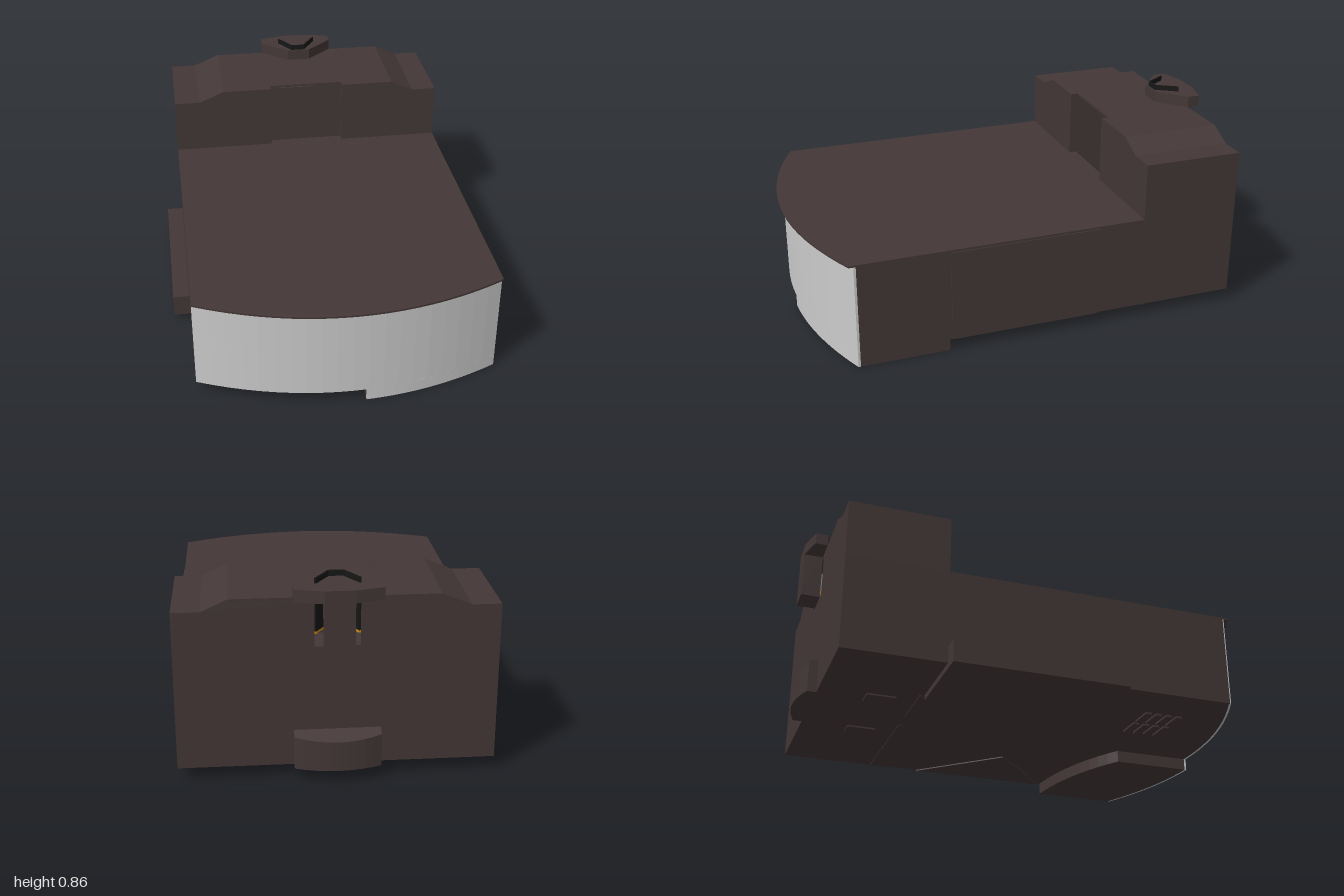
import * as THREE from 'three';

const mat = (color) => new THREE.MeshStandardMaterial({ color, side: THREE.DoubleSide, flatShading: true });
const brown = mat(0x443737), black = mat(0x161616), orange = mat(0xc98512), grey = mat(0xcccccc);

const L = -0.62, R = 0.685, MID = (L + R) / 2, HALF = (R - L) / 2;
const BACK = -0.915, STEP = -0.47, RECESS = -0.505, FLOOR = 0.055, DECK = 0.475;

// Bowed front edge from x0 to x1, peaking at the given z
function arc(x0, x1, peak, sag = 0.15, n = 20) {
  return Array.from({ length: n + 1 }, (_, i) => {
    const x = x0 + (x1 - x0) * i / n;
    return [x, peak - sag * ((x - MID) / HALF) ** 2];
  });
}

export function createModel() {
  const group = new THREE.Group();

  const add = (name, geo, material = brown) => {
    const mesh = new THREE.Mesh(geo, material);
    mesh.name = name;
    group.add(mesh);
    return mesh;
  };
  // Box given by its limits on each axis
  const box = (name, x0, x1, y0, y1, z0, z1, material) => add(name,
    new THREE.BoxGeometry(x1 - x0, y1 - y0, z1 - z0)
      .translate((x0 + x1) / 2, (y0 + y1) / 2, (z0 + z1) / 2), material);
  const shapeOf = (pts) => new THREE.Shape(pts.map(([x, y]) => new THREE.Vector2(x, y)));
  // Floor plan of [x, z] points raised from y0 to y1
  const plan = (name, pts, y0, y1, material) => add(name,
    new THREE.ExtrudeGeometry(shapeOf(pts.map(([x, z]) => [x, -z])), { depth: y1 - y0, bevelEnabled: false })
      .rotateX(-Math.PI / 2).translate(0, y0, 0), material);
  // Elevation of [x, y] points running from z0 to z1
  const elevation = (name, shape, z0, z1, material) => add(name,
    new THREE.ExtrudeGeometry(shape, { depth: z1 - z0, bevelEnabled: false }).translate(0, 0, z0), material);

  // Hollow main body: floor, side walls and overhanging deck
  plan('bodyFloor', [[L, BACK], ...arc(L, R, 0.96), [R, BACK]], FLOOR, FLOOR + 0.01);
  plan('deck', [[L, RECESS], ...arc(L, R, 1, 0.16), [R, RECESS]], DECK - 0.008, DECK);
  for (const [x0, x1] of [[L, L + 0.01], [R - 0.01, R]]) {
    box('sideWall', x0, x1, FLOOR, DECK, BACK, 0.815);
    box('rearSideWall', x0, x1, DECK, 0.73, BACK, STEP);
  }
  box('sidePanel', R, R + 0.005, FLOOR, DECK - 0.01, -0.27, 0.41);

  // Light bowed front, deeper above the foot
  const frontBand = (x0, x1, y0, y1) => plan('frontPanel',
    [...arc(x0, x1, 0.97), ...arc(x0, x1, 0.96).reverse()], y0, y1, grey);
  frontBand(L, R, FLOOR, DECK - 0.008);
  frontBand(0.09, R, 0, FLOOR);

  // Foot under the left front corner, with a curved rear edge
  const footRear = new THREE.QuadraticBezierCurve(
    new THREE.Vector2(R, 0.42), new THREE.Vector2(0.34, 0.44), new THREE.Vector2(0.09, 0.6));
  plan('frontFoot', [...arc(0.09, R, 0.96), ...footRear.getPoints(10).map((p) => [p.x, p.y])], 0, FLOOR);

  // Raised rear housing: roof, rear wall with opening, front faces beside the recess
  const roof = [[L, 0.73], [-0.5, 0.73], [-0.38, 0.78], [0.46, 0.78], [0.57, 0.73], [R, 0.73]];
  elevation('rearRoof', shapeOf([...roof, ...roof.map(([x, y]) => [x, y - 0.01]).reverse()]), BACK, RECESS);
  const rear = shapeOf([[L, FLOOR], ...roof, [R, FLOOR]]);
  rear.holes.push(new THREE.Path([[-0.06, 0.572], [0.125, 0.572], [0.125, 0.765], [-0.06, 0.765]]
    .map(([x, y]) => new THREE.Vector2(x, y))));
  elevation('rearWall', rear, BACK, BACK + 0.01);
  elevation('rearFrontRight', shapeOf([[L, DECK], ...roof.slice(0, 3), [-0.145, 0.78], [-0.145, DECK]]), RECESS, STEP);
  elevation('rearFrontLeft', shapeOf([[0.21, DECK], [0.21, 0.78], ...roof.slice(3), [R, DECK]]), RECESS, STEP);

  // Latch: faceted cap, hollow column behind the wall, orange core
  plan('latchCap', [[-0.145, -0.97], [-0.03, -1], [0.09, -1], [0.21, -0.97], [0.21, BACK],
    [0.09, -0.805], [-0.02, -0.805], [-0.145, BACK]], 0.78, 0.832);
  box('latchColumnBack', -0.03, 0.09, 0.575, 0.83, -1, -0.99);
  box('latchColumnBase', -0.03, 0.09, 0.572, 0.58, -1, BACK);
  for (const x of [-0.03, 0.082]) box('latchColumnSide', x, x + 0.008, 0.575, 0.83, -1, BACK);
  box('latchCore', -0.02, 0.08, 0.58, 0.615, -0.985, -0.91, orange);

  // Black faceted liner standing through the roof, trimmed in orange
  const line = [[-0.06, -0.907], [0, -0.812], [0.065, -0.812], [0.125, -0.907]];
  const inner = [[-0.052, -0.907], [0.004, -0.82], [0.061, -0.82], [0.117, -0.907]].reverse();
  plan('latchLiner', [...line, ...inner], 0.632, 0.855, black);
  plan('latchTrim', [...line, ...inner], 0.622, 0.632, orange);

  // Bowed rear bumper with a sloping top
  const bumper = [[-0.145, BACK], ...arc(-1, 1, 0.99, 0, 10).map((_, i) => {
    const t = i / 5 - 1;
    return [0.0325 + 0.1775 * t, -0.99 + 0.035 * t * t];
  }), [0.21, BACK]];
  const bump = plan('rearBumper', bumper, FLOOR, 0.21).geometry.attributes.position;
  for (let i = 0; i < bump.count; i++) {
    if (bump.getY(i) > 0.2) bump.setY(i, 0.21 + (bump.getZ(i) - BACK) * 0.35);
  }

  // Side rail and underside plate on the right
  box('sideRail', -0.695, L, 0.03, 0.13, STEP, 0.305);
  box('bottomPlate', L, -0.265, 0.03, FLOOR, STEP, 0.305);

  // Underside details: seams, pads, vent slats and corner cover
  box('bottomSeam', 0.1, R, 0.051, FLOOR, -0.49, -0.478);
  box('bottomSeam', -0.26, 0, 0.051, FLOOR, -0.49, -0.478);
  for (const x of [0.23, -0.165]) box('bottomPad', x - 0.045, x + 0.045, 0.048, FLOOR, -0.71, -0.58);
  for (let i = 0; i < 4; i++) {
    for (const x of [-0.41, -0.28]) {
      box('ventSlat', x, x + 0.11, 0.046, FLOOR, 0.51 + i * 0.05, 0.54 + i * 0.05);
    }
  }
  plan('cornerCover', [[R, -0.25], [0.35, 0.1], [0.5, 0.25], [R, 0.4]], 0.05, FLOOR);

  return group;
}
